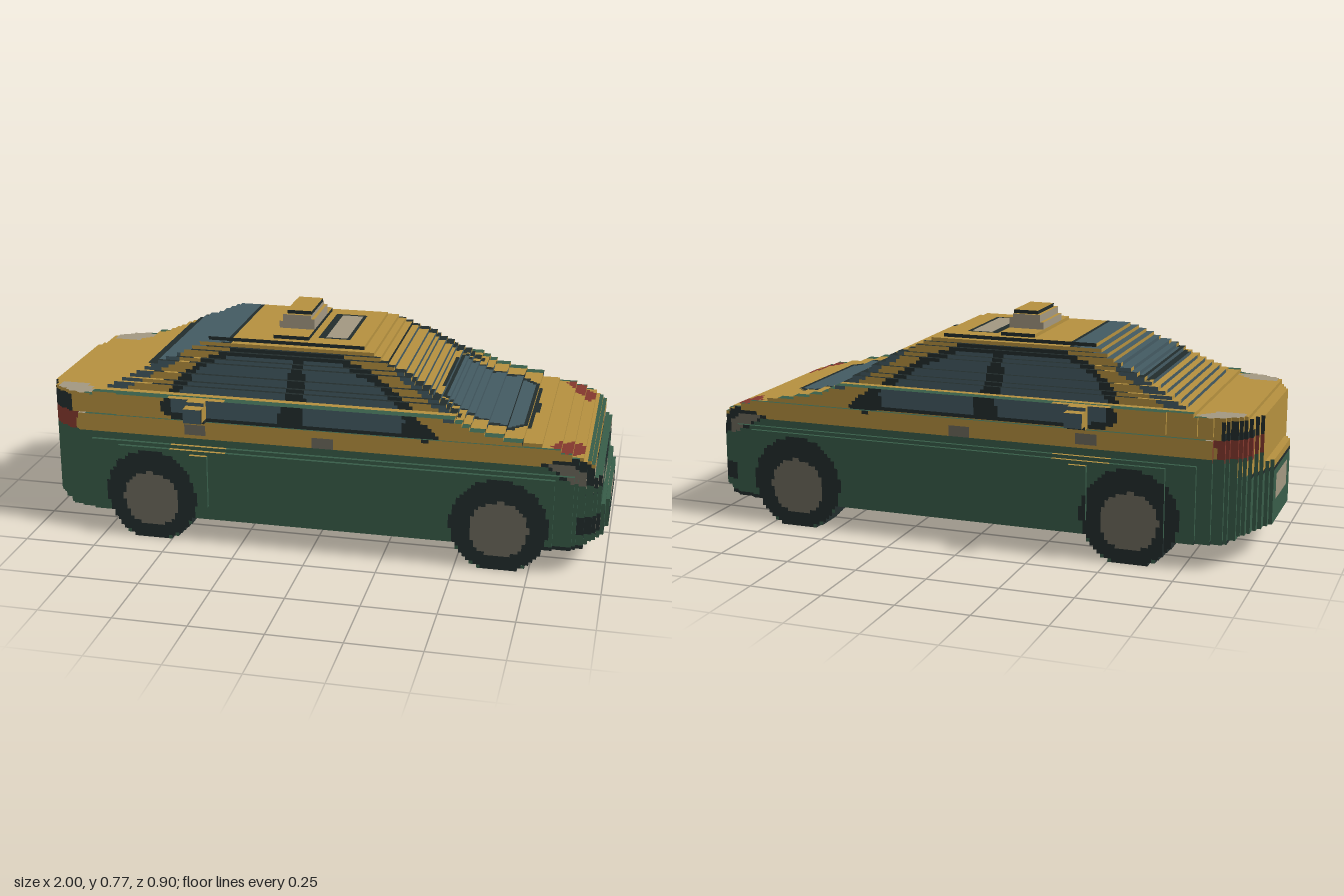
import * as THREE from 'three';

// A saloon taxi in small steps: the solid common to a side, an end and a top outline,
// with each step face painted from the pattern of the direction it faces.
const STEP = 0.0125;
const COUNT = [160, 64, 74];                       // cells along x, y, z
const ORIGIN = [-1, 0, -37 * STEP];

const rect = (x0, x1, y0, y1) => [[x0, y0], [x1, y0], [x1, y1], [x0, y1]];
const disc = (cx, cy, r, n = 32) => Array.from({ length: n }, (_, i) => {
  const a = (i / n) * Math.PI * 2;
  return [cx + r * Math.cos(a), cy + r * Math.sin(a)];
});
function inside(poly, x, y) {
  let hit = false;
  for (let i = 0, j = poly.length - 1; i < poly.length; j = i++) {
    const [ax, ay] = poly[i], [bx, by] = poly[j];
    if ((ay > y) !== (by > y) && x < ((bx - ax) * (y - ay)) / (by - ay) + ax) hit = !hit;
  }
  return hit;
}
const inAny = (polys, x, y) => polys.some((p) => inside(p, x, y));

const WHEELS = [-0.57, 0.645];

// Side outline (x, y): body, wheels, roof sign
const sideOutline = [
  [[-1.01, 0.12], [-0.92, 0.11], [-0.88, 0.09], [0.92, 0.085], [0.94, 0.11], [1.01, 0.11], [1.01, 0.2],
    [0.98, 0.22], [0.98, 0.33], [0.95, 0.34], [0.95, 0.39], [0.9, 0.41], [0.85, 0.43], [0.75, 0.45],
    [0.55, 0.49], [0.5, 0.51], [0.42, 0.56], [0.32, 0.62], [0.22, 0.665], [0.13, 0.705], [-0.37, 0.705],
    [-0.47, 0.66], [-0.6, 0.6], [-0.72, 0.54], [-0.76, 0.52], [-0.86, 0.51], [-0.97, 0.505],
    [-0.97, 0.34], [-1.01, 0.33]],
  ...WHEELS.map((x) => disc(x, 0.16, 0.168)),
  [[-0.17, 0.7], [-0.05, 0.7], [-0.05, 0.74], [-0.072, 0.78], [-0.148, 0.78], [-0.17, 0.74]],
];
// End outline, one half (|z|, y): body, wheels, mirrors, roof sign
const endOutline = [
  [[-1, 0.07], [0.385, 0.07], [0.388, 0.33], [0.368, 0.345], [0.365, 0.4], [0.35, 0.455], [0.335, 0.52],
    [0.305, 0.565], [0.287, 0.61], [0.263, 0.65], [0.24, 0.685], [0.185, 0.7], [0.18, 0.712], [-1, 0.712]],
  rect(0.27, 0.388, -0.01, 0.1),
  rect(0.37, 0.402, 0.14, 0.33),
  rect(-1, 0.418, 0.455, 0.53),
  rect(-1, 0.445, 0.465, 0.515),
  [[-1, 0.7], [0.115, 0.7], [0.1, 0.725], [0.09, 0.78], [-1, 0.78]],
];
// Top outline, one half (x, |z|): body, mirrors
const topOutline = [
  [[-1.01, -1], [-1.01, 0.12], [-0.98, 0.18], [-0.95, 0.26], [-0.93, 0.3], [-0.88, 0.34], [-0.82, 0.365],
    [-0.7, 0.378], [-0.65, 0.388], [0.8, 0.388], [0.88, 0.37], [0.95, 0.33], [0.98, 0.28], [0.995, 0.19], [1.01, 0.15],
    [1.01, -1]],
  rect(-0.43, -0.36, 0, 0.445),
];

// Painted parts, later ones on top: [part name, colour, polygon]
const sidePaint = [
  ['upperBody', 'yellow', rect(-2, 2, 0.375, 2)],
  ['lowerBody', 'green', rect(-2, 2, -1, 0.375)],
  ['roofEdge', 'dark', rect(-0.4, 0.2, 0.69, 0.71)],
  ['rearWindow', 'glass', [[-0.76, 0.52], [-0.68, 0.52], [-0.5, 0.62], [-0.47, 0.67], [-0.62, 0.62]]],
  ['windscreen', 'glass', [[0.25, 0.66], [0.3, 0.61], [0.46, 0.51], [0.52, 0.51], [0.36, 0.63]]],
  ['windowFrames', 'dark', [[-0.53, 0.48], [-0.49, 0.455], [0.32, 0.455], [0.38, 0.43], [0.46, 0.435],
    [0.42, 0.48], [0.33, 0.54], [0.2, 0.625], [0.08, 0.67], [-0.3, 0.675], [-0.42, 0.63], [-0.5, 0.55]]],
  ['sideWindows', 'glass', [[-0.48, 0.47], [-0.11, 0.46], [-0.09, 0.655], [-0.3, 0.655], [-0.41, 0.61], [-0.49, 0.51]]],
  ['sideWindows', 'glass', [[-0.02, 0.46], [0.31, 0.46], [0.32, 0.51], [0.2, 0.595], [0.08, 0.645], [-0.05, 0.655]]],
  ['tailLampTrim', 'dark', rect(-0.98, -0.86, 0.44, 0.5)],
  ['tailLamps', 'red', [[-0.98, 0.37], [-0.86, 0.37], [-0.83, 0.44], [-0.98, 0.44]]],
  ['headlampTrim', 'dark', [[0.77, 0.385], [0.85, 0.34], [0.97, 0.3], [0.97, 0.35], [0.9, 0.41]]],
  ['headlamps', 'grey', [[0.79, 0.38], [0.92, 0.31], [0.93, 0.35], [0.87, 0.39]]],
  ['fogLamps', 'dark', rect(0.9, 0.97, 0.14, 0.2)],
  ['sill', 'dark', rect(0.8, 1, 0, 0.1)],
  ['doorHandles', 'grey', rect(-0.45, -0.38, 0.39, 0.425)],
  ['doorHandles', 'grey', rect(0, 0.07, 0.38, 0.415)],
  ...WHEELS.map((x) => ['tyres', 'dark', disc(x, 0.16, 0.166)]),
  ...WHEELS.map((x) => ['wheelRims', 'grey', disc(x, 0.145, 0.1)]),
  ['roofSign', 'cream', rect(-0.2, 0, 0.712, 0.763)],
  ['roofSignCap', 'dark', rect(-0.2, 0, 0.763, 0.8)],
];
const signEnd = [
  ['roofSign', 'cream', rect(-1, 0.2, 0.712, 0.763)],
  ['roofSignCap', 'dark', rect(-1, 0.2, 0.763, 0.8)],
];
const frontPaint = [
  ['upperBody', 'yellow', rect(-1, 1, 0.35, 2)],
  ['lowerBody', 'green', rect(-1, 1, -1, 0.35)],
  ['lowerBody', 'green', rect(0.345, 0.4, 0.3, 0.4)],
  ['windscreenFrame', 'dark', [[-1, 0.462], [0.31, 0.462], [0.3, 0.54], [0.245, 0.66], [-1, 0.66]]],
  ['windscreen', 'glass', [[-1, 0.475], [0.3, 0.475], [0.285, 0.54], [0.235, 0.645], [-1, 0.645]]],
  ['roofEdge', 'dark', rect(-1, 0.2, 0.697, 0.712)],
  ['headlampTrim', 'dark', [[0.355, 0.28], [0.2, 0.28], [0.15, 0.36], [0.35, 0.37]]],
  ['headlamps', 'cream', [[0.35, 0.29], [0.34, 0.37], [0.27, 0.365], [0.25, 0.3]]],
  ['headlamps', 'grey', [[0.25, 0.3], [0.27, 0.36], [0.16, 0.355], [0.21, 0.295]]],
  ['grille', 'dark', [[-1, 0.35], [0.165, 0.35], [0.1, 0.285], [0.08, 0.262], [-1, 0.262]]],
  ['lowerGrille', 'dark', rect(-1, 0.2, 0.125, 0.178)],
  ['numberPlate', 'cream', rect(-1, 0.095, 0.163, 0.245)],
  ['fogLamps', 'dark', rect(0.255, 0.345, 0.13, 0.2)],
  ['fogLamps', 'grey', rect(0.285, 0.33, 0.14, 0.188)],
  ['mirrorTrim', 'dark', rect(0.34, 0.5, 0.45, 0.535)],
  ['mirrors', 'yellow', rect(0.355, 0.44, 0.463, 0.525)],
  ['sill', 'dark', rect(-1, 1, -1, 0.095)],
  ...signEnd,
];
const rearPaint = [
  ['upperBody', 'yellow', rect(-1, 1, 0.31, 2)],
  ['lowerBody', 'green', rect(-1, 1, -1, 0.31)],
  ['lowerBody', 'green', rect(0.33, 1, -1, 0.375)],
  ['bootSeam', 'dark', rect(-1, 0.27, 0.3, 0.313)],
  ['rearWindow', 'glass', [[-1, 0.525], [0.29, 0.525], [0.235, 0.645], [-1, 0.645]]],
  ['tailLampTrim', 'dark', rect(0.25, 0.37, 0.44, 0.46)],
  ['tailLamps', 'red', rect(0.25, 0.37, 0.36, 0.44)],
  ['numberPlate', 'cream', rect(-1, 0.1, 0.185, 0.27)],
  ['mirrors', 'yellow', rect(0.35, 0.5, 0.45, 0.535)],
  ['sill', 'dark', rect(-1, 1, -1, 0.1)],
  ...signEnd,
];
const topPaint = [
  ['upperBody', 'yellow', rect(-2, 2, -1, 0.345)],
  ['lowerBody', 'green', rect(-2, 2, 0.345, 0.39)],
  ['lowerBody', 'green', rect(0.92, 2, -1, 0.39)],
  ['mirrors', 'yellow', rect(-0.5, -0.3, 0.36, 0.5)],
  ['windowFrames', 'dark', [[-0.58, 0.32], [-0.3, 0.235], [0.4, 0.235], [0.5, 0.29], [0.5, 0.32]]],
  ['windscreenFrame', 'dark', [[-0.61, -1], [-0.61, 0.25], [-0.57, 0.3], [-0.31, 0.24], [-0.31, -1]]],
  ['windscreen', 'glass', [[-0.58, -1], [-0.58, 0.24], [-0.55, 0.28], [-0.32, 0.225], [-0.32, -1]]],
  ['rearWindowFrame', 'dark', [[0.4, -1], [0.42, 0.24], [0.66, 0.28], [0.73, 0.2], [0.74, -1]]],
  ['rearWindow', 'glass', [[0.42, -1], [0.44, 0.225], [0.65, 0.26], [0.7, 0.2], [0.71, -1]]],
  ['headlamps', 'cream', [[-0.93, 0.26], [-0.84, 0.26], [-0.77, 0.33], [-0.82, 0.36], [-0.92, 0.33]]],
  ['tailLamps', 'red', [[0.8, 0.34], [0.83, 0.27], [0.9, 0.21], [0.92, 0.3], [0.86, 0.36]]],
  ['roofPanelTrim', 'dark', rect(-0.025, 0.09, -1, 0.155)],
  ['roofPanel', 'cream', rect(0, 0.08, -1, 0.135)],
];
const basePaint = [['underside', 'dark', rect(-2, 2, -2, 2)]];

const pick = (list, u, v) => list.findLast((e) => inside(e[2], u, v)) ?? list[0];

// Choose the painted part for a face at p with the given axis and sign
function partAt(axis, sign, [x, y, z]) {
  if (axis === 2) return pick(sidePaint, x, y);
  if (axis === 0) return pick(sign > 0 ? frontPaint : rearPaint, Math.abs(z), y);
  return pick(sign > 0 ? topPaint : basePaint, x, Math.abs(z));
}

export function createModel() {
  const group = new THREE.Group();
  group.name = 'taxi';
  const colours = {
    yellow: 0xb6913f, green: 0x385d49, dark: 0x222d2d, glass: 0x445b63,
    cream: 0xa39882, grey: 0x6d695d, red: 0x84382e,
  };
  const materials = {};
  for (const [name, color] of Object.entries(colours)) {
    materials[name] = new THREE.MeshStandardMaterial({ color });
    materials[name].name = name;
  }

  // Which cells are solid
  const at = (axis, i) => ORIGIN[axis] + i * STEP;
  const centre = (c) => c.map((i, axis) => at(axis, i + 0.5));
  const mask = (a, b, test) => Array.from({ length: COUNT[a] }, (_, i) =>
    Array.from({ length: COUNT[b] }, (_, j) => test(at(a, i + 0.5), at(b, j + 0.5))));
  const side = mask(0, 1, (x, y) => inAny(sideOutline, x, y));
  const end = mask(2, 1, (z, y) => inAny(endOutline, Math.abs(z), y));
  const top = mask(0, 2, (x, z) => inAny(topOutline, x, Math.abs(z)));
  const solid = ([i, j, k]) => !!(side[i]?.[j] && end[k]?.[j] && top[i]?.[k]);

  // Collect exposed faces per part, joining neighbours of one part into strips
  const parts = new Map();
  function addStrip(entry, axis, sign, cell, run, stop) {
    const key = entry[0] + '|' + entry[1];
    if (!parts.has(key)) parts.set(key, { pos: [], nor: [], idx: [] });
    const { pos, nor, idx } = parts.get(key);
    const u = (axis + 1) % 3, v = (axis + 2) % 3, n = pos.length / 3;
    for (const [du, dv] of [[0, 0], [1, 0], [1, 1], [0, 1]]) {
      const p = [0, 0, 0], normal = [0, 0, 0];
      p[axis] = at(axis, cell[axis] + (sign > 0 ? 1 : 0));
      p[u] = at(u, du ? (u === run ? stop : cell[u] + 1) : cell[u]);
      p[v] = at(v, dv ? (v === run ? stop : cell[v] + 1) : cell[v]);
      normal[axis] = sign;
      pos.push(...p);
      nor.push(...normal);
    }
    idx.push(...(sign > 0 ? [0, 1, 2, 0, 2, 3] : [0, 2, 1, 0, 3, 2]).map((i) => i + n));
  }
  for (let axis = 0; axis < 3; axis++) {
    const run = axis === 0 ? 2 : 0, other = 3 - axis - run;
    for (const sign of [-1, 1]) for (let a = 0; a < COUNT[axis]; a++) for (let o = 0; o < COUNT[other]; o++) {
      let current = null, start = null;
      for (let r = 0; r <= COUNT[run]; r++) {
        const cell = [0, 0, 0];
        cell[axis] = a; cell[other] = o; cell[run] = r;
        const next = [...cell];
        next[axis] += sign;
        const entry = solid(cell) && !solid(next) ? partAt(axis, sign, centre(cell)) : null;
        if (entry === current) continue;
        if (current) addStrip(current, axis, sign, start, run, r);
        current = entry;
        start = cell;
      }
    }
  }

  for (const [key, { pos, nor, idx }] of parts) {
    const [name, colour] = key.split('|');
    const geometry = new THREE.BufferGeometry();
    geometry.setAttribute('position', new THREE.Float32BufferAttribute(pos, 3));
    geometry.setAttribute('normal', new THREE.Float32BufferAttribute(nor, 3));
    geometry.setIndex(idx);
    const mesh = new THREE.Mesh(geometry, materials[colour]);
    mesh.name = name;
    group.add(mesh);
  }
  return group;
}
